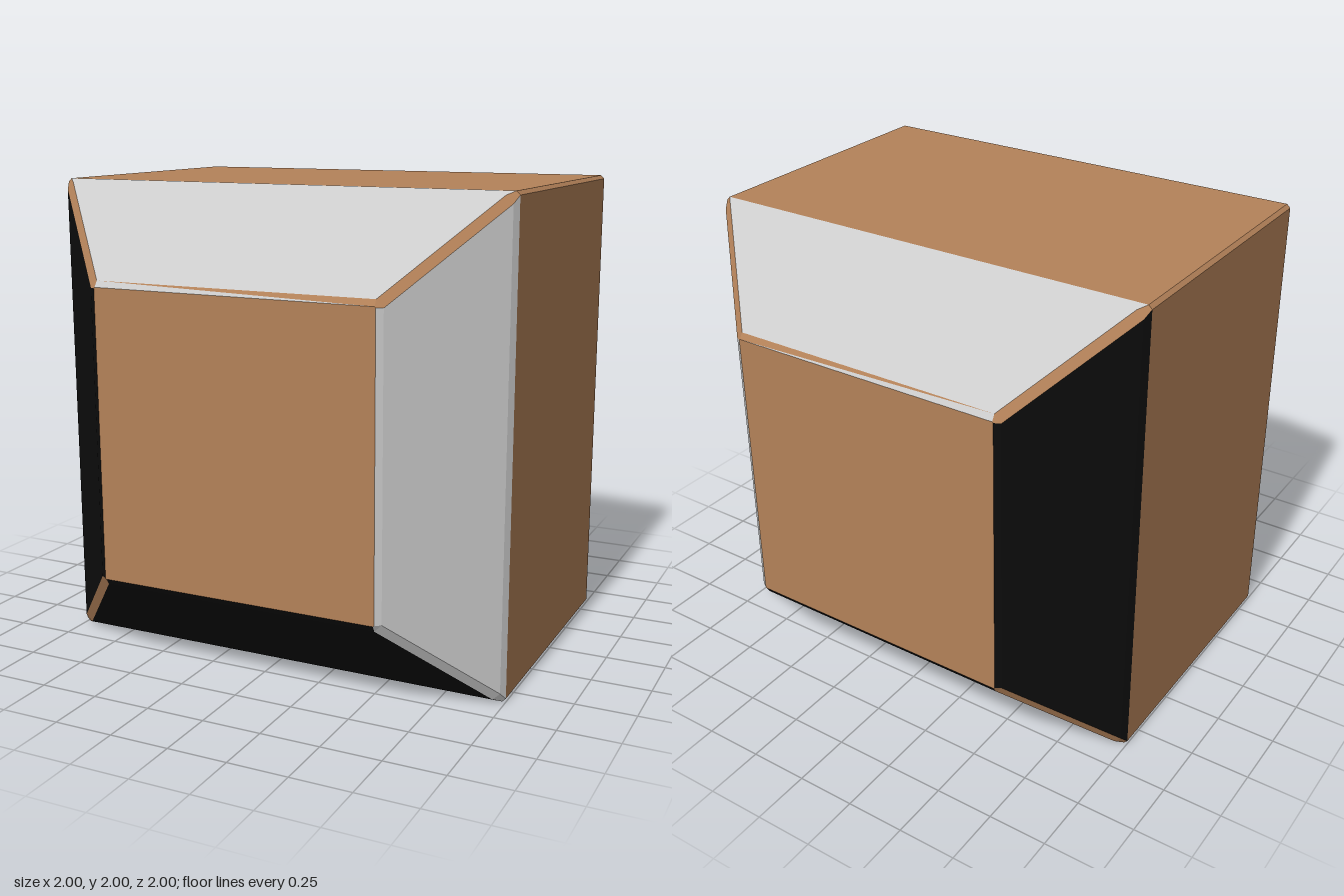
import * as THREE from 'three';

const BROWN = 0xb48259, GREY = 0xd8d8d8, BLACK = 0x0c0c0c;

// Square cross-sections from back to front: half size, corner cut, z
const half = [[1, 0.015, 0.6], [0.985, 0.03, 0.63], [0.63, 0.03, 0.985], [0.605, 0.004, 1]];
const sections = [...half.map(([h, c, z]) => [h, c, -z]).reverse(), ...half];

// Eight points per section, counter-clockwise, two for each side: +x, +y, -x, -y
function ring([h, c, z]) {
  const pts = [];
  for (let k = 0; k < 4; k++) {
    for (const t of [-(h - c), h - c]) {
      pts.push(new THREE.Vector3(h, t, z).applyAxisAngle(new THREE.Vector3(0, 0, 1), k * Math.PI / 2));
    }
  }
  return pts;
}

export function createModel() {
  const group = new THREE.Group();
  const rings = sections.map(ring);
  const parts = {
    body: { color: BROWN, pts: [] },
    lightPanels: { color: GREY, pts: [] },
    darkPanels: { color: BLACK, pts: [] },
  };
  const tri = (part, ...p) => parts[part].pts.push(...p);
  const quad = (part, a, b, c, d) => tri(part, a, b, c, a, c, d);
  const panelOf = ['lightPanels', 'lightPanels', 'darkPanels', 'darkPanels'];

  for (let i = 0; i < rings.length - 1; i++) {
    const r = rings[i], s = rings[i + 1];
    const isBody = i === 3, isRim = i === 0 || i === 6;
    for (let k = 0; k < 4; k++) {
      const a = 2 * k, b = a + 1, n = (a + 2) % 8;
      if (isRim && k === 1) {
        // Upper rim, split into a brown sliver and a light one
        if (i === 6) {
          tri('body', s[a], r[b], r[a]);
          tri('lightPanels', s[a], s[b], r[b]);
        } else {
          tri('body', r[a], s[b], s[a]);
          tri('lightPanels', r[a], r[b], s[b]);
        }
        // keep the brown sliver facing outward
        const p = parts.body.pts;
        const [u, v, w] = p.slice(-3);
        const normal = v.clone().sub(u).cross(w.clone().sub(u));
        if (normal.y < 0) p.splice(-2, 2, w, v);
        const q = parts.lightPanels.pts;
        const [e, f, g] = q.slice(-3);
        if (f.clone().sub(e).cross(g.clone().sub(e)).y < 0) q.splice(-2, 2, g, f);
      } else {
        quad(isBody ? 'body' : panelOf[k], r[a], r[b], s[b], s[a]);
      }
      // Narrow strip along each mitred corner
      quad(!isBody && k === 3 ? 'lightPanels' : 'body', r[b], r[n], s[n], s[b]);
    }
  }

  // Front and back faces
  const front = rings[rings.length - 1], back = rings[0];
  for (let j = 1; j < 7; j++) {
    tri('body', front[0], front[j], front[j + 1]);
    tri('body', back[0], back[j + 1], back[j]);
  }

  for (const [name, { color, pts }] of Object.entries(parts)) {
    const geometry = new THREE.BufferGeometry().setFromPoints(pts);
    geometry.computeVertexNormals();
    const mesh = new THREE.Mesh(geometry, new THREE.MeshStandardMaterial({ color, flatShading: true }));
    mesh.name = name;
    mesh.position.y = 1;
    group.add(mesh);
  }
  group.name = 'bevelledBlock';
  return group;
}
